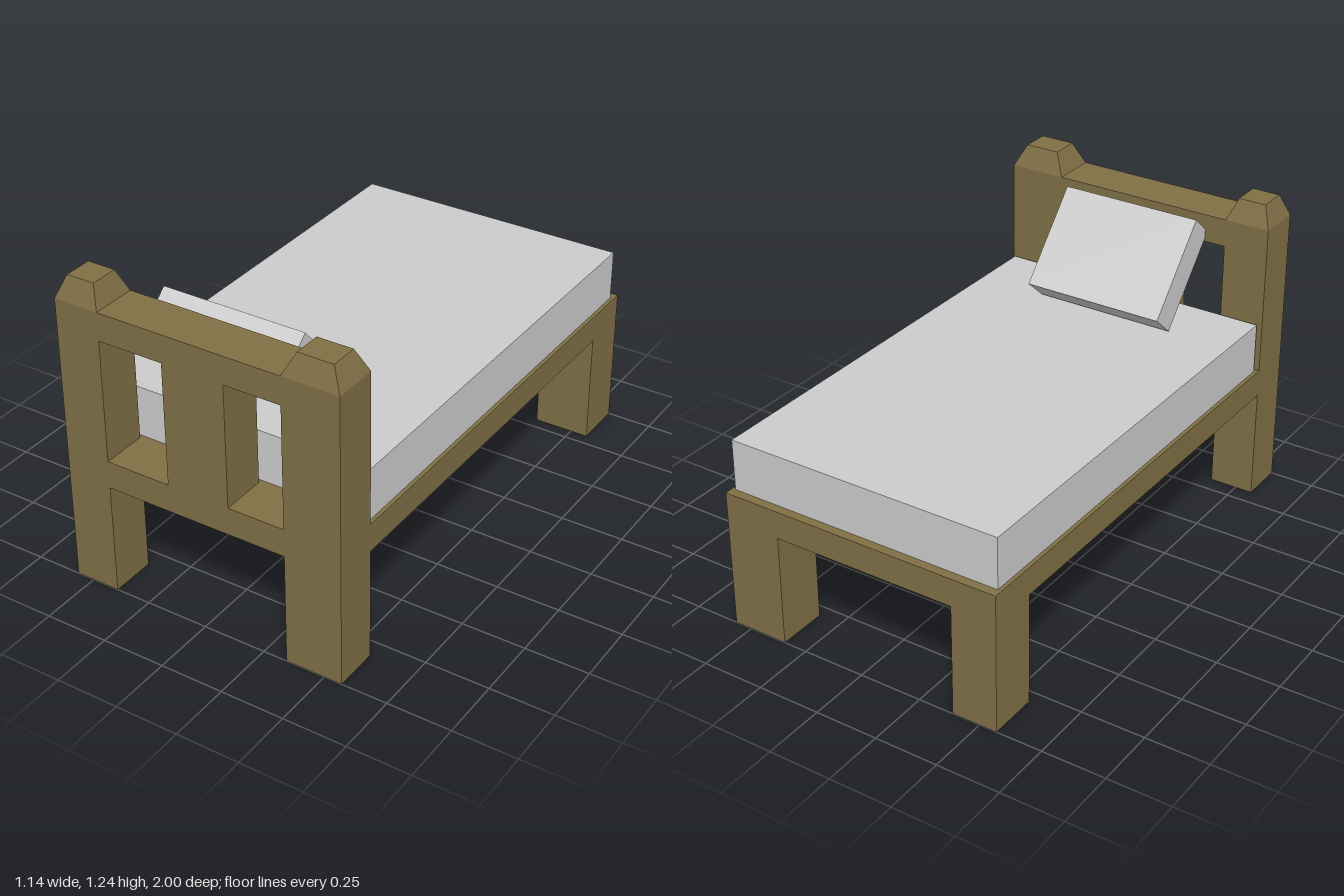
import * as THREE from 'three';

const wood = new THREE.MeshStandardMaterial({ color: 0x7f6f45, flatShading: true });
const cloth = new THREE.MeshStandardMaterial({ color: 0xcccccc, flatShading: true });

// Post spans in x, shared by the headboard posts, their caps and the foot legs
const posts = { right: [-0.57, -0.39], left: [0.345, 0.57] };
const HEAD_Z = [0.82, 1];
const RAIL_Y = [0.445, 0.555];
const POST_TOP = 1.15;

// Box given by its extents along each axis
function box(name, [x0, x1], [y0, y1], [z0, z1], material) {
  const geometry = new THREE.BoxGeometry(x1 - x0, y1 - y0, z1 - z0);
  const mesh = new THREE.Mesh(geometry, material);
  mesh.position.set((x0 + x1) / 2, (y0 + y1) / 2, (z0 + z1) / 2);
  mesh.name = name;
  return mesh;
}

// Narrow the upper end of a box mesh
function taperTop(mesh, factor) {
  const p = mesh.geometry.attributes.position;
  for (let i = 0; i < p.count; i++) {
    if (p.getY(i) > 0) p.setXYZ(i, p.getX(i) * factor, p.getY(i), p.getZ(i) * factor);
  }
  mesh.geometry.computeVertexNormals();
  return mesh;
}

// Headboard: both posts, top rail, bottom rail and middle panel in one slab
function headboard() {
  const [a, b] = posts.right;
  const [c, d] = posts.left;
  const points = (list) => list.map(([x, y]) => new THREE.Vector2(x, y));
  const shape = new THREE.Shape(points([
    [a, 0], [b, 0], [b, RAIL_Y[0]], [c, RAIL_Y[0]], [c, 0], [d, 0], [d, POST_TOP], [a, POST_TOP],
  ]));
  for (const [x0, x1] of [[b, -0.13], [0.12, c]]) {
    shape.holes.push(new THREE.Path(points([
      [x0, RAIL_Y[1]], [x0, 1.04], [x1, 1.04], [x1, RAIL_Y[1]],
    ])));
  }
  const geometry = new THREE.ExtrudeGeometry(shape, {
    depth: HEAD_Z[1] - HEAD_Z[0], bevelEnabled: false,
  });
  const mesh = new THREE.Mesh(geometry, wood);
  mesh.position.z = HEAD_Z[0];
  mesh.name = 'headboard';
  return mesh;
}

export function createModel() {
  const bed = new THREE.Group();
  bed.name = 'bed';

  bed.add(headboard());
  bed.add(box('bedBase', [-0.57, 0.57], RAIL_Y, [-1, HEAD_Z[0]], wood));

  // Post caps and foot legs
  for (const [side, span] of Object.entries(posts)) {
    bed.add(taperTop(box(side + 'PostCap', span, [POST_TOP, 1.235], HEAD_Z, wood), 0.62));
    bed.add(box(side + 'FootLeg', span, [0, RAIL_Y[0]], [-1, -0.8], wood));
  }

  bed.add(box('mattress', [-0.555, 0.555], [RAIL_Y[1], 0.757], [-0.965, 0.805], cloth));

  // Pillow leaning against the headboard
  const pillow = new THREE.Mesh(new THREE.BoxGeometry(0.575, 0.415, 0.125), cloth);
  pillow.position.set(-0.018, 0.96, 0.654);
  pillow.rotation.x = 0.724;
  pillow.name = 'pillow';
  bed.add(pillow);

  return bed;
}
